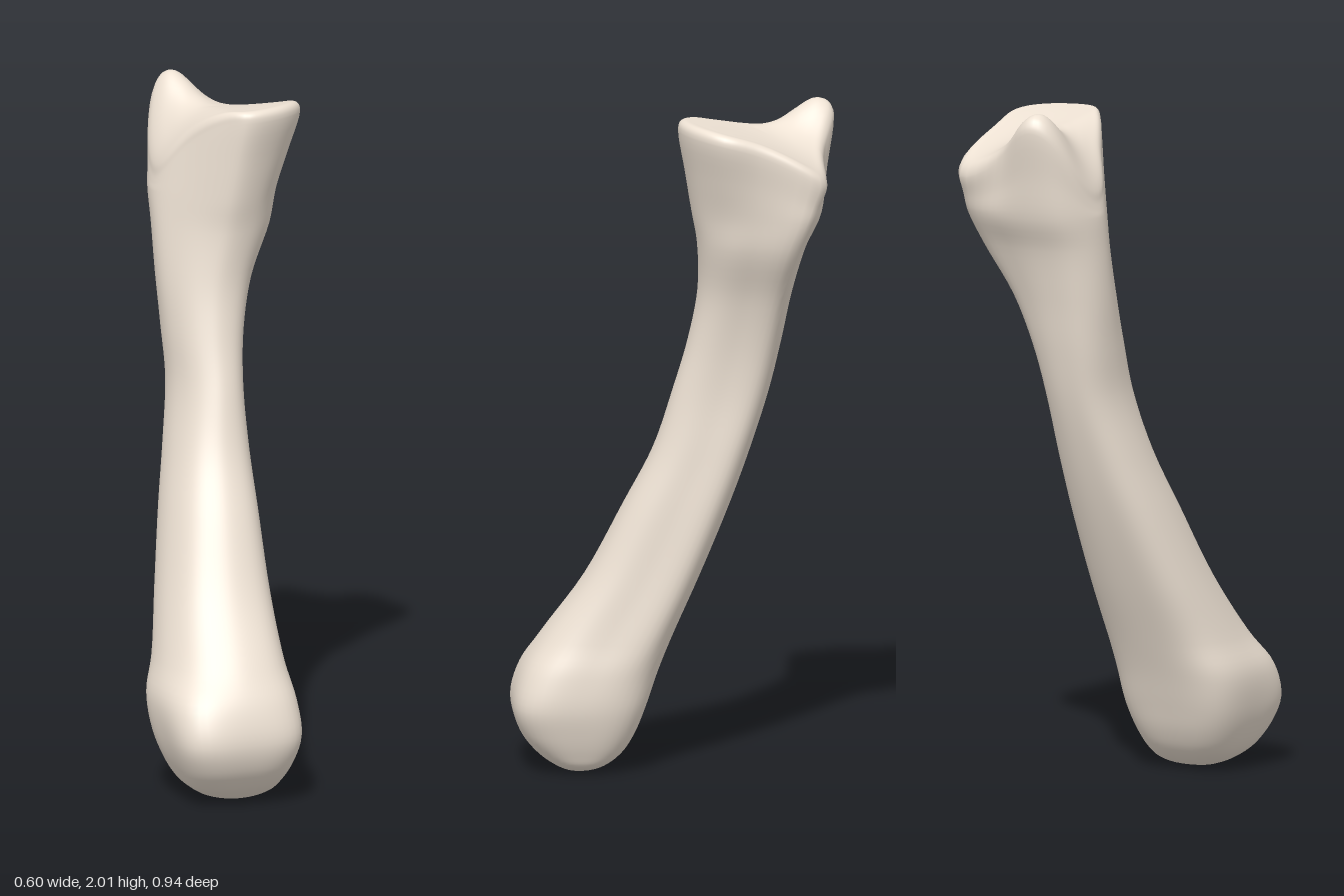
import * as THREE from 'three';
import { mergeVertices } from 'three/addons/utils/BufferGeometryUtils.js';

const COLUMNS = 64;
const STEPS = 5; // smooth rows between neighbouring sections

// closed unit outlines, starting at +x and turning towards +z
const outline = (pts) =>
  new THREE.CatmullRomCurve3(pts.map(([x, z]) => new THREE.Vector3(x, 0, z)), true);

const neckOutline = outline([
  [0.82, 0], [0.64, 0.53], [0.28, 0.91], [-0.15, 1], [-0.47, 0.74], [-0.78, 0.33],
  [-1, -0.1], [-0.96, -0.5], [-0.7, -0.85], [-0.2, -1], [0.35, -0.97], [0.98, -0.75],
]);
const rimOutline = outline([
  [0.95, 0], [0.95, 0.5], [0.55, 0.87], [-0.05, 1], [-0.35, 0.75], [-0.7, 0.32],
  [-1, -0.05], [-0.96, -0.5], [-0.72, -0.87], [-0.4, -1], [0.15, -0.84], [0.94, -0.78],
]);

// rounded-square section used by the lower head and the shaft
function roundedSquare(t, power) {
  const c = Math.cos(t * Math.PI * 2), s = Math.sin(t * Math.PI * 2);
  const r = Math.pow(Math.abs(c) ** power + Math.abs(s) ** power, -1 / power);
  return new THREE.Vector3(c * r, 0, s * r);
}

// sections: y, x min, x max, z min, z max, squareness, share of the neck outline
const sections = [
  [0.0, -0.1, -0.05, 0.26, 0.3, 2, 0],
  [0.006, -0.14, 0.0, 0.22, 0.32, 2.3, 0],
  [0.025, -0.19, 0.035, 0.18, 0.355, 2.7, 0],
  [0.06, -0.235, 0.055, 0.14, 0.4, 3.1, 0],
  [0.12, -0.27, 0.078, 0.105, 0.445, 3.5, 0],
  [0.2, -0.295, 0.098, 0.075, 0.467, 3.8, 0],
  [0.3, -0.302, 0.105, 0.04, 0.445, 3.6, 0.15],
  [0.4, -0.27, 0.105, 0.0, 0.385, 3.4, 0.4],
  [0.58, -0.225, 0.105, -0.077, 0.257, 3.4, 0.45],
  [0.8, -0.175, 0.107, -0.165, 0.143, 3.2, 0.45],
  [0.97, -0.135, 0.107, -0.225, 0.058, 3, 0.45],
  [1.15, -0.103, 0.11, -0.28, 0.0, 3, 0.5],
  [1.3, -0.105, 0.132, -0.315, -0.043, 3, 0.55],
  [1.45, -0.112, 0.18, -0.345, -0.07, 2.8, 0.7],
  [1.6, -0.115, 0.26, -0.385, -0.067, 2.6, 0.9],
  [1.7, -0.115, 0.29, -0.428, -0.05, 2.5, 1],
];

// height of the upper joint surface: falls to the back left and the right side,
// with a knob at the back right
function jointHeight(x, z) {
  const t = THREE.MathUtils.clamp(-z / 0.42, 0, 1.1);
  const side = THREE.MathUtils.smoothstep(x, 0, 0.3);
  const rightFall = 6 * Math.max(0, 0.06 - x) ** 2;
  const knob = 0.126 * Math.exp(-((x + 0.03) ** 2 + (z + 0.43) ** 2) / 0.012);
  return 1.98 - 0.06 * t * (1 - side) - 0.14 * t * t * side - rightFall + knob;
}

// rings closing the upper joint: scale, drop below the joint surface
const jointRings = [[1, 0.035], [0.985, 0.012], [0.93, 0.001], [0.8, 0], [0.6, 0], [0.4, 0], [0.2, 0], [0, 0]];

function columnPoints(t) {
  const neck = neckOutline.getPoint(t), rim = rimOutline.getPoint(t);
  // bottom pole, then the side sections
  const pts = [new THREE.Vector3(-0.075, 0, 0.28)];
  for (const [y, x0, x1, z0, z1, power, share] of sections) {
    const p = roundedSquare(t, power).lerp(neck, share);
    pts.push(new THREE.Vector3((x0 + x1) / 2 + p.x * (x1 - x0) / 2, y, (z0 + z1) / 2 + p.z * (z1 - z0) / 2));
  }
  // rim and upper joint surface
  const joint = jointRings.map(([scale, drop]) => {
    const x = 0.098 + rim.x * 0.203 * scale, z = -0.24 + rim.z * 0.23 * scale;
    return new THREE.Vector3(x, jointHeight(x, z) - drop, z);
  });
  // halfway row carries the neck straight up to the rim
  const flare = pts.at(-1).clone().lerp(joint[0], 0.5);
  return [...pts, flare, ...joint];
}

function boneGeometry() {
  const positions = [], index = [];
  let rows = 0;
  for (let j = 0; j < COLUMNS; j++) {
    const pts = columnPoints(j / COLUMNS);
    const curve = new THREE.CatmullRomCurve3(pts);
    rows = (pts.length - 1) * STEPS;
    for (let i = 0; i <= rows; i++) {
      const p = curve.getPoint(i / rows);
      positions.push(p.x, Math.max(p.y, 0), p.z);
    }
  }
  // quads between columns, single triangles at the two poles
  for (let j = 0; j < COLUMNS; j++) {
    const a = j * (rows + 1), b = ((j + 1) % COLUMNS) * (rows + 1);
    for (let i = 0; i < rows; i++) {
      if (i > 0) index.push(a + i, a + i + 1, b + i);
      if (i < rows - 1) index.push(a + i + 1, b + i + 1, b + i);
    }
  }
  const geometry = new THREE.BufferGeometry();
  geometry.setAttribute('position', new THREE.Float32BufferAttribute(positions, 3));
  geometry.setIndex(index);
  const welded = mergeVertices(geometry, 1e-5);
  welded.computeVertexNormals();
  return welded;
}

export function createModel() {
  const group = new THREE.Group();
  group.name = 'longBone';
  const material = new THREE.MeshStandardMaterial({ color: 0xeee2d4 });
  const bone = new THREE.Mesh(boneGeometry(), material);
  bone.name = 'bone';
  group.add(bone);
  return group;
}
